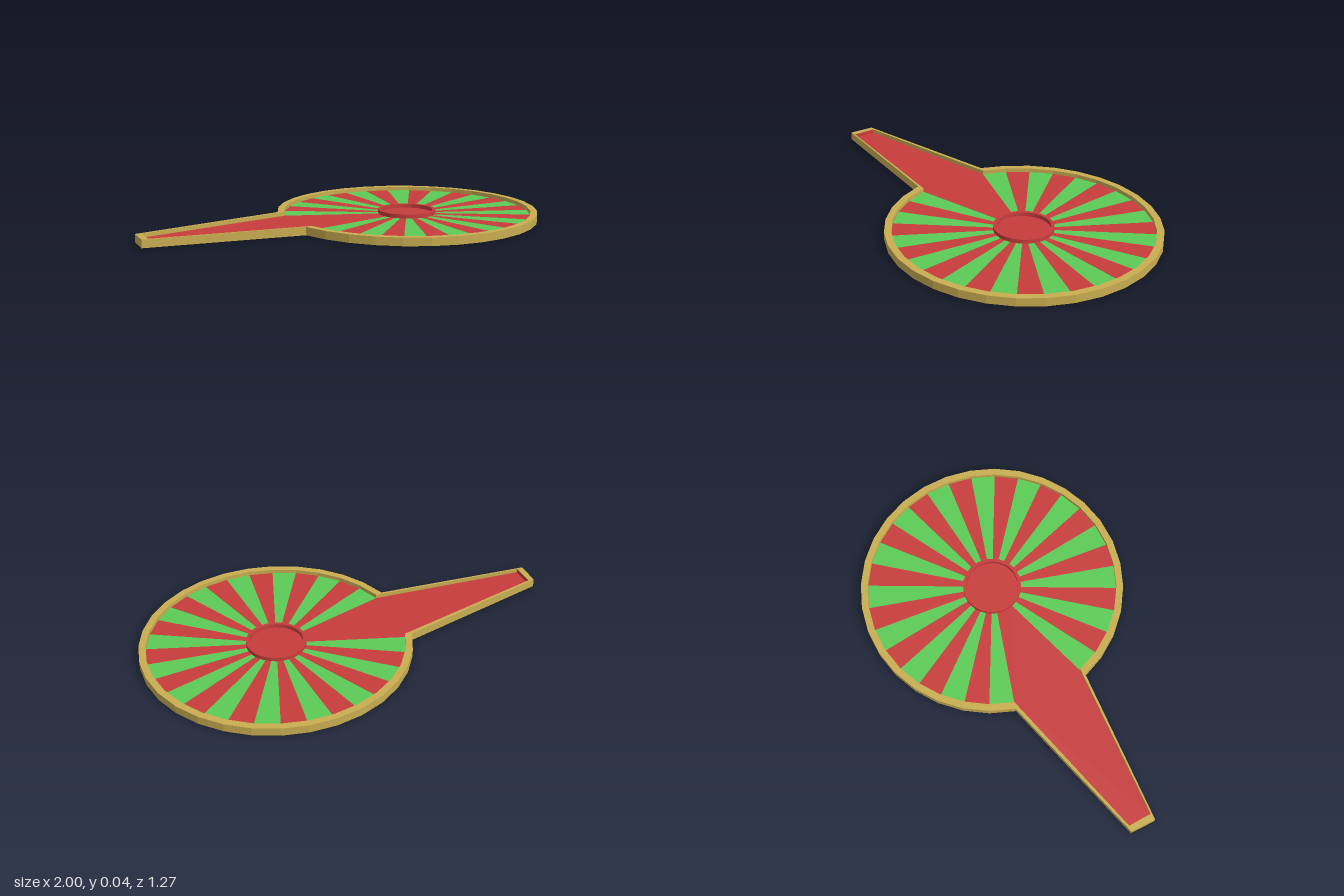
import * as THREE from 'three';
import { mergeGeometries } from 'three/addons/utils/BufferGeometryUtils.js';

const CX = 0.366, SEGMENTS = 32, STEP = (Math.PI * 2) / SEGMENTS;
const OUTER = 0.634, INNER = 0.601, HUB = 0.14, HUB_INNER = 0.125;
const HEIGHT = 0.039, FLOOR = 0.02, BASE = 0.018;

// Plan coordinates: x to the left of the model, y towards its back
const ring = (r, i) => new THREE.Vector2(CX + r * Math.cos(i * STEP), r * Math.sin(i * STEP));

function arc(r, from, to) {
  const points = [];
  for (let i = from; i <= to; i++) points.push(ring(r, i));
  return points;
}

// Paddle outline: disc arc, then the two corners of the tapered tip
function outline(r, tip) {
  return [...arc(r, 17, 46), ...tip.map(([x, y]) => new THREE.Vector2(x, y))];
}

function flat(points, y) {
  return new THREE.ShapeGeometry(new THREE.Shape(points)).rotateX(-Math.PI / 2).translate(0, y, 0);
}

function slab(shape, y, top) {
  return new THREE.ExtrudeGeometry(shape, { depth: top - y, bevelEnabled: false })
    .rotateX(-Math.PI / 2).translate(0, y, 0);
}

export function createModel() {
  const group = new THREE.Group();
  const material = (color) => new THREE.MeshStandardMaterial({ color, flatShading: true });
  const gold = material(0xc8ad50), red = material(0xc83c3c), green = material(0x5ccb55);
  const add = (name, geometry, mat) => {
    const mesh = new THREE.Mesh(geometry, mat);
    mesh.name = name;
    group.add(mesh);
    return mesh;
  };

  const outer = outline(OUTER, [[-0.987, 0.121], [-1, 0]]);
  const inner = outline(INNER, [[-0.96, 0.114], [-0.968, 0.002]]);

  // Solid underside and raised rim
  add('base', slab(new THREE.Shape(outer), 0, BASE), gold);
  const rimShape = new THREE.Shape(outer);
  rimShape.holes.push(new THREE.Path(inner));
  add('rim', slab(rimShape, BASE, HEIGHT), gold);

  // Alternating wedges, leaving the three behind the handle
  const wedges = [[], []];
  for (let i = 17; i < 46; i++) {
    const corners = [ring(HUB, i), ring(INNER, i), ring(INNER, i + 1), ring(HUB, i + 1)];
    wedges[i % 2].push(flat(corners, FLOOR));
  }
  add('redWedges', mergeGeometries(wedges[0]), red);
  add('greenWedges', mergeGeometries(wedges[1]), green);

  // Handle floor, from the hub to the tip
  const handle = [ring(INNER, 14), ...inner.slice(-2), ring(INNER, 17), ...arc(HUB, 14, 17).reverse()];
  add('handleFloor', flat(handle, FLOOR), red);

  // Red inner face of the handle tip
  const tipFace = add('handleTipFace', new THREE.PlaneGeometry(0.112, HEIGHT - FLOOR), red);
  tipFace.position.set(-0.963, (HEIGHT + FLOOR) / 2, -0.058);
  tipFace.rotation.y = Math.atan2(0.112, 0.008);

  // Hub: raised ring around a sunken disc
  const hubShape = new THREE.Shape(arc(HUB, 0, SEGMENTS - 1));
  hubShape.holes.push(new THREE.Path(arc(HUB_INNER, 0, SEGMENTS - 1)));
  add('hubRing', slab(hubShape, BASE, HEIGHT), red);
  add('hubFloor', flat(arc(HUB_INNER, 0, SEGMENTS - 1), FLOOR), red);

  return group;
}
